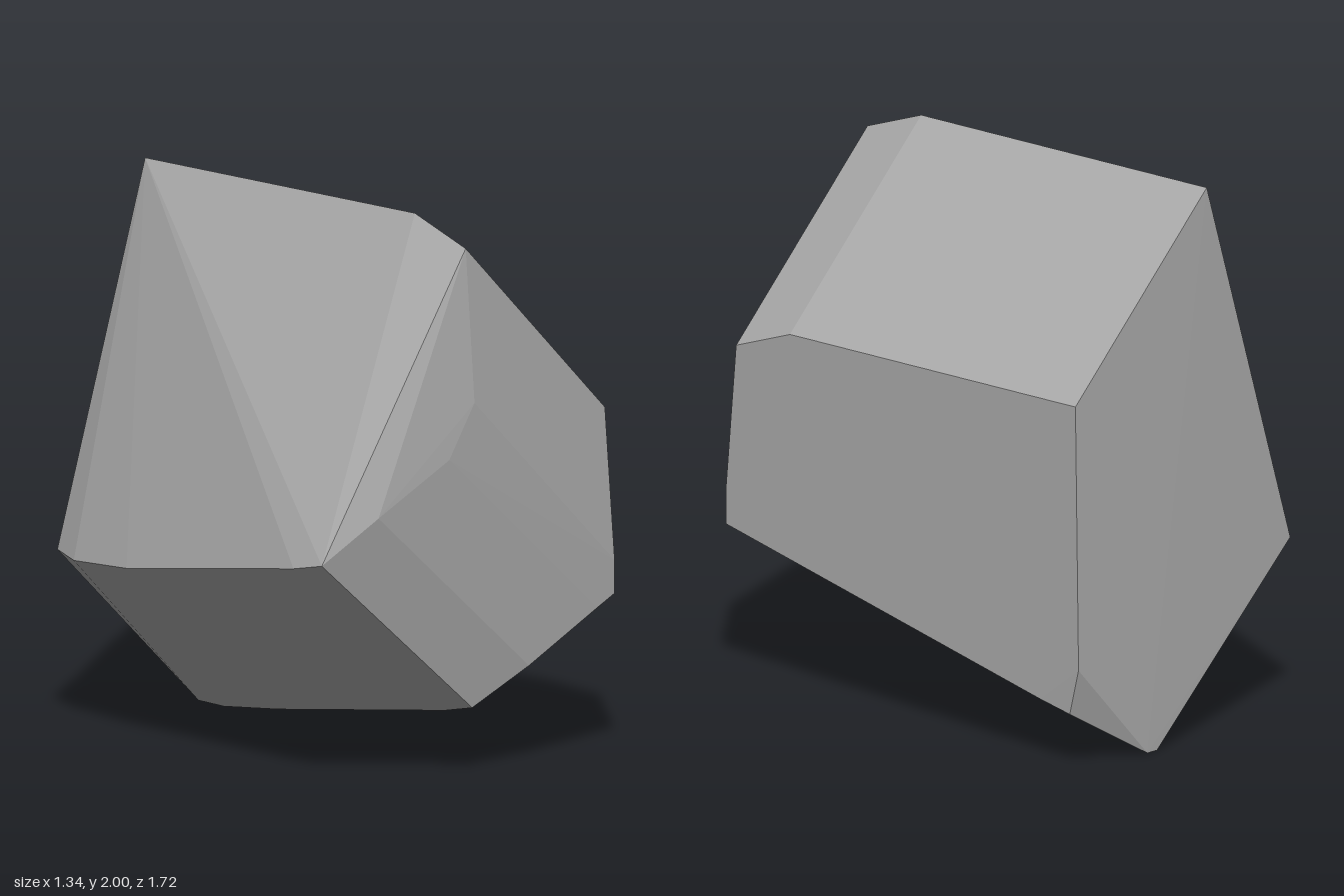
import * as THREE from 'three';
import { ConvexGeometry } from 'three/addons/geometries/ConvexGeometry.js';

export function createModel() {
  const group = new THREE.Group();
  group.name = 'stoneBlock';
  const stone = new THREE.MeshStandardMaterial({ color: 0xaaaaaa });
  stone.name = 'greyStone';

  // Roof: a ridge and the right eave share the same lengthwise profile
  const roof = [];
  for (const [x, y] of [[-0.01, 2], [0.67, 1.335]]) {
    for (const [drop, z] of [[0.09, 0.81], [0, 0.55], [0, -0.83]]) roof.push([x, y - drop, z]);
  }

  // Slightly domed front face
  const front = [
    [-0.67, 0.85, 0.765], [0.06, 0.24, 0.77],
    [-0.45, 1.0, 0.825], [0.28, 0.37, 0.83],
    [-0.13, 1.17, 0.852], [0.59, 0.54, 0.855],
    [-0.01, 1.36, 0.855], [0.67, 0.7, 0.86], [0.67, 0.58, 0.858],
  ];

  // Left edge running backwards
  const left = [[-0.67, 0.82, 0.62], [-0.54, 0.66, -0.37], [-0.473, 0.63, -0.71], [-0.41, 0.64, -0.86]];

  // Sloping underside
  const under = [
    [0.06, 0.21, 0.63], [0.2, 0.05, -0.37], [0.27, 0, -0.72],
    [0.28, 0, -0.86], [0.33, 0, -0.86],
    [0.67, 0.23, -0.66], [0.667, 0.2, -0.8], [0.67, 0.37, -0.845],
  ];

  const points = [...roof, ...front, ...left, ...under].map((p) => new THREE.Vector3(...p));
  const rock = new THREE.Mesh(new ConvexGeometry(points), stone);
  rock.name = 'rock';
  group.add(rock);
  return group;
}
